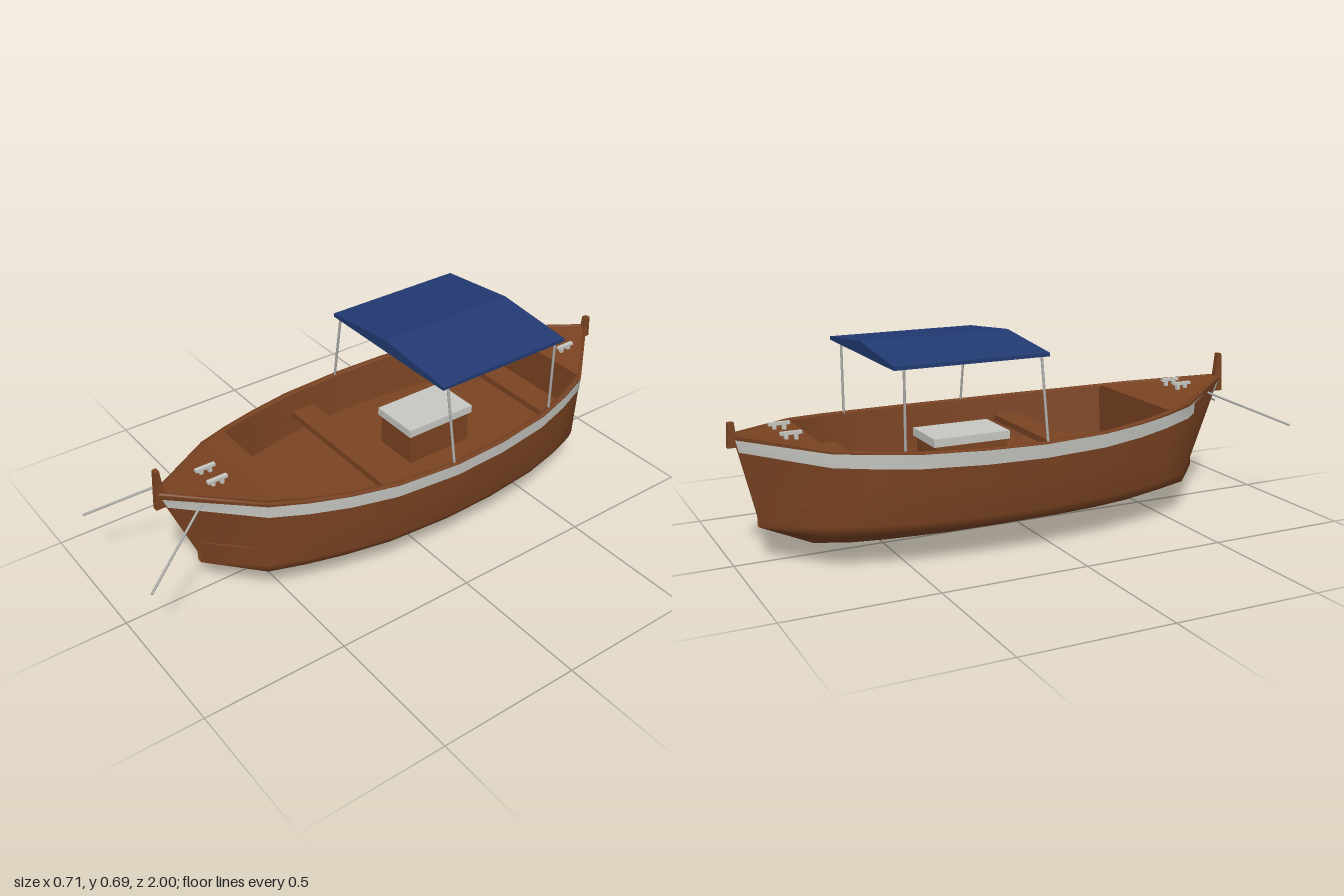
import * as THREE from 'three';

const D = THREE.DoubleSide;
const wood = new THREE.MeshStandardMaterial({ color: 0x7a4322, side: D });
wood.name = 'brown wood';
const white = new THREE.MeshStandardMaterial({ color: 0xc6c6c2, side: D });
white.name = 'off white paint';
const steel = new THREE.MeshStandardMaterial({ color: 0xaaaaa8 });
steel.name = 'grey metal';
const blue = new THREE.MeshStandardMaterial({ color: 0x223a72 });
blue.name = 'navy canvas';

// Hull stations, bow to stern: z, half width, sheer height, keel height, z at the chine
const stations = [
  [0.84, 0.01, 0.453, 0.12, 0.72],
  [0.57, 0.205, 0.414, 0.04, 0.57],
  [0.45, 0.255, 0.402, 0.02, 0.45],
  [0.32, 0.297, 0.392, 0.01, 0.32],
  [0.16, 0.334, 0.384, 0.005, 0.16],
  [-0.07, 0.352, 0.38, 0.003, -0.07],
  [-0.27, 0.345, 0.382, 0.004, -0.27],
  [-0.48, 0.317, 0.388, 0.012, -0.48],
  [-0.62, 0.277, 0.397, 0.022, -0.62],
  [-0.74, 0.23, 0.405, 0.04, -0.74],
  [-0.98, 0.01, 0.432, 0.12, -0.915],
];
const CHINE = 0.155;

// Interpolated station at any z
function stationAt(z) {
  let i = 0;
  while (i < stations.length - 2 && stations[i + 1][0] > z) i++;
  const a = stations[i], b = stations[i + 1];
  const t = (z - a[0]) / (b[0] - a[0]);
  return a.map((v, k) => v + (b[k] - v) * t);
}

// Point on the topside at height y; side is +1 or -1
function sidePoint([z, w, sheer, , footZ], y, side, offset = 0) {
  const f = (sheer - y) / (sheer - CHINE);
  const half = w < 0.02 ? w : w * (1 - 0.07 * f);
  return [side * (half + offset), y, z + (footZ - z) * f];
}

// Surface through rows of points
function loft(rows) {
  const n = rows[0].length, index = [];
  for (let i = 0; i < rows.length - 1; i++)
    for (let j = 0; j < n - 1; j++) {
      const a = i * n + j, b = a + n;
      index.push(a, a + 1, b, a + 1, b + 1, b);
    }
  const g = new THREE.BufferGeometry();
  g.setAttribute('position', new THREE.Float32BufferAttribute(rows.flat(2), 3));
  g.setIndex(index);
  g.computeVertexNormals();
  return g;
}

export function createModel() {
  const boat = new THREE.Group();
  boat.name = 'boat';

  function add(name, geometry, material, x = 0, y = 0, z = 0) {
    const m = new THREE.Mesh(geometry, material);
    m.name = name;
    m.position.set(x, y, z);
    boat.add(m);
    return m;
  }
  const box = (name, mat, w, h, d, x, y, z) => add(name, new THREE.BoxGeometry(w, h, d), mat, x, y, z);
  function rod(name, mat, a, b, r) {
    const p = new THREE.Vector3(...a), q = new THREE.Vector3(...b);
    const m = add(name, new THREE.CylinderGeometry(r, r, p.distanceTo(q), 8), mat);
    m.position.copy(p).add(q).multiplyScalar(0.5);
    m.quaternion.setFromUnitVectors(new THREE.Vector3(0, 1, 0), q.sub(p).normalize());
  }

  // Hull shell, open along the stem and sternpost
  add('hull', loft(stations.map((s) => {
    const half = (k) => {
      const chine = s[1] < 0.02 ? s[1] : s[1] * 0.87;
      return [
        sidePoint(s, s[2], k),
        sidePoint(s, (s[2] + CHINE) / 2, k),
        sidePoint(s, CHINE, k),
        [k * chine, 0.122, s[4]],
      ];
    };
    return [...half(1), [0, s[3], s[4]], ...half(-1).reverse()];
  })), wood);

  // Painted band and gunwale on both sides
  for (const side of [1, -1]) {
    add('paintedBand', loft(stations.map((s) => {
      const top = s[2] - 0.003 - (s[2] - 0.38) * 0.28;
      const bottom = top - 0.048 + (s[2] - 0.38) * 0.15;
      return [sidePoint(s, top, side, 0.003), sidePoint(s, bottom, side, 0.003)];
    })), white);
    add('gunwale', loft(stations.map((s) => [
      [side * (s[1] + 0.003), s[2] - 0.004, s[0]],
      [side * (s[1] + 0.003), s[2] + 0.002, s[0]],
      [side * Math.max(s[1] - 0.015, 0), s[2] + 0.002, s[0]],
      [side * Math.max(s[1] - 0.015, 0), s[2] - 0.008, s[0]],
    ])), wood);
  }

  // Cockpit floor
  add('floor', loft(stations.map((s) => [sidePoint(s, 0.22, 1), sidePoint(s, 0.22, -1)])), wood);

  // End decks with the bulkheads below them
  for (const [name, zs, edge] of [['foreDeck', [0.84, 0.57, 0.47], 0.47], ['aftDeck', [-0.74, -0.86, -0.98], -0.74]]) {
    add(name, loft(zs.map((z) => {
      const s = stationAt(z);
      return [[s[1], s[2], z], [-s[1], s[2], z]];
    })), wood);
    const s = stationAt(edge);
    add(name + 'Bulkhead', loft([s[2], 0.22].map((y) => [sidePoint(s, y, 1), sidePoint(s, y, -1)])), wood);
  }

  // Thwarts
  box('frontThwart', wood, 0.62, 0.022, 0.09, 0, 0.307, 0.105);
  box('rearThwart', wood, 0.46, 0.022, 0.1, 0, 0.296, -0.63);

  // Engine box and lid
  box('engineBox', wood, 0.17, 0.115, 0.255, 0, 0.277, -0.21);
  box('engineLid', white, 0.185, 0.028, 0.275, 0, 0.348, -0.21);

  // Stem and stern posts, drawn as (z, y) outlines
  for (const [name, outline] of [
    ['stemPost', [[0.828, 0.535], [0.843, 0.535], [0.852, 0.395], [0.812, 0.395]]],
    ['sternPost', [[-0.976, 0.47], [-0.996, 0.47], [-1, 0.39], [-0.968, 0.39]]],
  ]) {
    const shape = new THREE.Shape(outline.map(([z, y]) => new THREE.Vector2(-z, y)));
    const g = new THREE.ExtrudeGeometry(shape, { depth: 0.02, bevelEnabled: false });
    g.translate(0, 0, -0.01).rotateY(Math.PI / 2);
    add(name, g, wood);
  }

  // Canopy: low gable with a flat underside
  const gable = new THREE.Shape([[-0.303, 0.647], [0.303, 0.647], [0.303, 0.659], [0, 0.69], [-0.303, 0.659]]
    .map(([x, y]) => new THREE.Vector2(x, y)));
  add('canopy', new THREE.ExtrudeGeometry(gable, { depth: 0.525, bevelEnabled: false }), blue, 0, 0, -0.56);

  for (const side of [1, -1]) {
    // Canopy poles
    rod('frontPole', steel, [side * 0.343, 0.378, -0.06], [side * 0.295, 0.65, -0.06], 0.0045);
    rod('rearPole', steel, [side * 0.293, 0.385, -0.525], [side * 0.295, 0.65, -0.525], 0.0045);
    // Mooring lines
    rod('mooringLine', steel, [side * 0.083, 0.412, 0.735], [side * 0.234, 0.293, 0.998], 0.004);
    // Cleats
    for (const [x, z] of [[0.038, 0.65], [0.068, -0.815]]) {
      const y = stationAt(z)[2];
      box('cleatBar', white, 0.014, 0.01, 0.07, side * x, y + 0.02, z);
      for (const dz of [-0.016, 0.016]) box('cleatFoot', white, 0.012, 0.02, 0.012, side * x, y + 0.008, z + dz);
    }
  }
  return boat;
}
